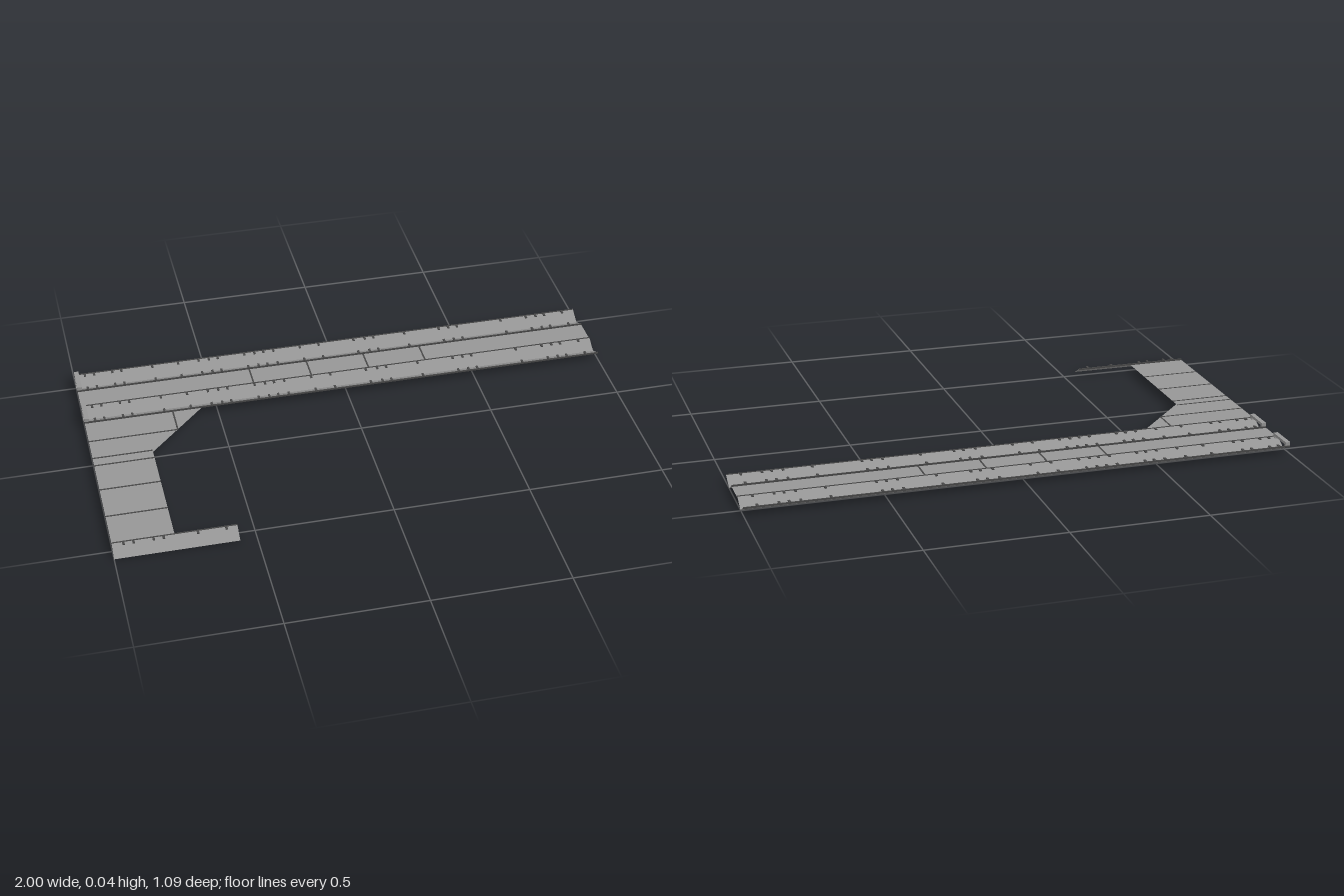
import * as THREE from 'three';
import { mergeGeometries } from 'three/addons/utils/BufferGeometryUtils.js';

const DECK = 0.025; // height of the quay surface
const LIP = 0.03; // height of the raised edge along the channels

export function createModel() {
  const model = new THREE.Group();
  const concrete = new THREE.MeshStandardMaterial({ color: 0x969696, flatShading: true, side: THREE.DoubleSide });
  const dark = new THREE.MeshStandardMaterial({ color: 0x484848, flatShading: true });

  function add(name, geometry, material = concrete) {
    const mesh = new THREE.Mesh(geometry, material);
    mesh.name = name;
    model.add(mesh);
  }

  // Folded sheet running along x through [z, y] points, back to front
  function sheet(x0, x1, profile) {
    const geo = new THREE.PlaneGeometry(1, 1, 1, profile.length - 1);
    const p = geo.attributes.position;
    for (let i = 0; i < p.count; i++) {
      const [z, y] = profile[Math.floor(i / 2)];
      p.setXYZ(i, i % 2 ? x1 : x0, y, z);
    }
    const faceted = geo.toNonIndexed();
    faceted.computeVertexNormals();
    return faceted;
  }

  function box(x0, x1, y0, y1, z0, z1) {
    const geo = new THREE.BoxGeometry(x1 - x0, y1 - y0, z1 - z0);
    return geo.translate((x0 + x1) / 2, (y0 + y1) / 2, (z0 + z1) / 2);
  }

  // Two V-shaped channels with a flat walkway between them
  const channels = [[-0.547, -0.495, -0.44], [-0.338, -0.287, -0.232]];
  channels.forEach(([back, mid, front]) => {
    add('channel', sheet(-1, 1, [[back, DECK], [back, LIP], [mid, 0], [front, LIP], [front, DECK]]));
  });
  add('walkway', sheet(-1, 1, [[-0.44, DECK], [-0.338, DECK]]));

  // Side pier with a diagonal corner
  const outline = new THREE.Shape([
    [-1, 0.232], [-1, -0.49], [-0.78, -0.49], [-0.78, 0], [-0.56, 0.232],
  ].map(([x, y]) => new THREE.Vector2(x, y)));
  add('pier', new THREE.ShapeGeometry(outline).rotateX(-Math.PI / 2).translate(0, DECK, 0));

  // Sloping bank at the end of the pier
  add('pierBank', sheet(-1, -0.56, [[0.49, DECK], [0.49, LIP], [0.543, 0]]));

  // Dark edging along the channel lips and the bank
  const edging = channels.flatMap(([back, , front]) => [back, front])
    .map(z => box(-1, 1, DECK, LIP + 0.001, z - 0.002, z + 0.002));
  edging.push(box(-1, -0.56, DECK, LIP + 0.001, 0.488, 0.492));
  add('edging', mergeGeometries(edging), dark);

  // Thin seams between the deck panels
  const top = DECK + 0.001, low = DECK - 0.001;
  const seams = [-0.34, -0.115, 0.11, 0.335].map(x => box(x - 0.003, x + 0.003, low, top, -0.44, -0.338));
  [-0.115, -0.01, 0.035, 0.18, 0.335].forEach(z => {
    const end = z < -0.1 ? -0.67 : -0.78;
    seams.push(box(-1, end, low, top, z - 0.003, z + 0.003));
  });
  seams.push(box(-0.673, -0.667, low, top, -0.232, -0.115));
  add('deckSeams', mergeGeometries(seams), dark);

  // Small fender brackets along every channel edge and the bank
  const spots = [-0.96, -0.925, -0.855, -0.82, -0.7, -0.6, -0.52, -0.48, -0.445, -0.34, -0.3, -0.265,
    -0.225, -0.12, -0.045, 0.095, 0.14, 0.175, 0.3, 0.44, 0.48, 0.515, 0.695, 0.8, 0.84, 0.875, 0.95];
  const brackets = [];
  function bracketRow(edge, inward, end) {
    const z = edge + inward * 0.018;
    spots.filter(x => x < end).forEach(x => {
      brackets.push(box(x - 0.004, x + 0.004, DECK + 0.003, LIP + 0.002, Math.min(edge, z), Math.max(edge, z)));
    });
  }
  channels.forEach(([back, , front]) => {
    bracketRow(back, 1, 1);
    bracketRow(front, -1, 1);
  });
  bracketRow(0.49, 1, -0.56);
  add('fenderBrackets', mergeGeometries(brackets), dark);

  // Raised beams crossing the channels at the closed end
  channels.forEach(([back, , front]) => {
    add('endBeam', mergeGeometries([
      box(-1, -0.983, 0.034, 0.044, back, front),
      box(-1, -0.983, DECK, 0.034, back, back + 0.012),
      box(-1, -0.983, DECK, 0.034, front - 0.012, front),
    ]));
  });

  return model;
}
